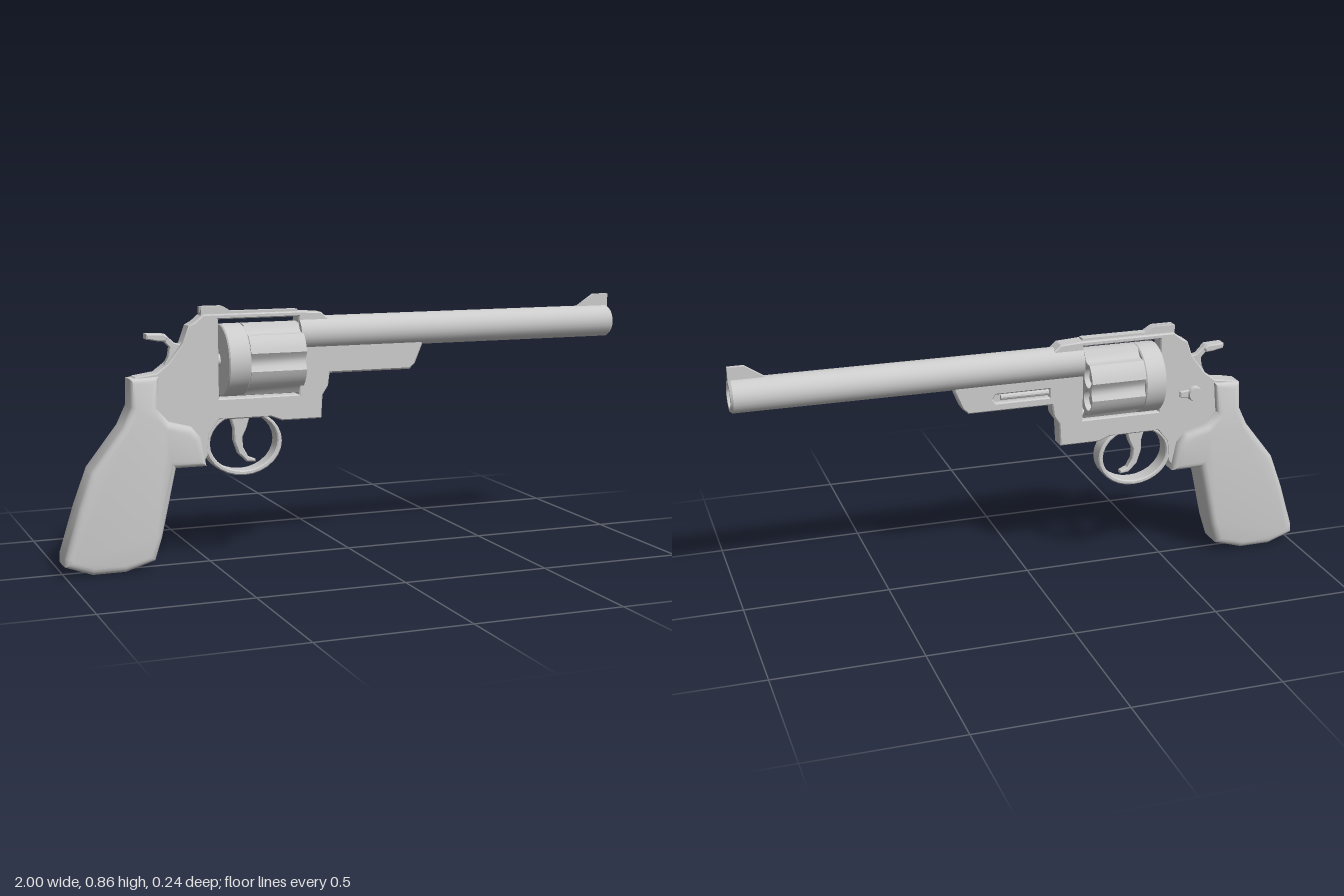
import * as THREE from 'three';
import { toCreasedNormals } from 'three/addons/utils/BufferGeometryUtils.js';

const AXIS_Y = 0.68;   // cylinder axis height
const BORE_Y = 0.76;   // barrel axis height

export function createModel() {
  const model = new THREE.Group();
  const material = new THREE.MeshStandardMaterial({ color: 0xcccccc });

  const add = (name, geometry, parent = model, crease = 0.6) => {
    const mesh = new THREE.Mesh(toCreasedNormals(geometry, crease), material);
    mesh.name = name;
    parent.add(mesh);
    return mesh;
  };
  const vectors = (points) => points.map(([x, y]) => new THREE.Vector2(x, y));

  // Side outline extruded between z0 and z1, with an edge bevel kept inside the outline
  const slab = (outline, z0, z1, { holes = [], bevel = 0, segments = 1 } = {}) => {
    const shape = new THREE.Shape(vectors(outline));
    holes.forEach((h) => shape.holes.push(new THREE.Path(vectors(h))));
    const geometry = new THREE.ExtrudeGeometry(shape, {
      depth: z1 - z0 - 2 * bevel, bevelEnabled: bevel > 0, bevelSize: bevel,
      bevelThickness: bevel, bevelOffset: -bevel, bevelSegments: segments, curveSegments: 8,
    });
    return geometry.translate(0, 0, z0 + bevel);
  };
  // Profile of [radius, x] turned around a lengthwise axis
  const turned = (profile, y, z = 0, sides = 20) =>
    new THREE.LatheGeometry(vectors(profile), sides).rotateZ(-Math.PI / 2).translate(0, y, z);
  const ellipse = (cx, cy, rx, ry, n) => Array.from({ length: n }, (_, i) => {
    const a = (i / n) * Math.PI * 2;
    return [cx + rx * Math.cos(a), cy + ry * Math.sin(a)];
  });

  // Frame with the cylinder window
  add('frame', slab([
    [-0.52, 0.835], [-0.55, 0.81], [-0.57, 0.80], [-0.59, 0.745], [-0.64, 0.68], [-0.68, 0.65],
    [-0.75, 0.64], [-0.765, 0.62], [-0.74, 0.54], [-0.69, 0.44], [-0.58, 0.38], [-0.525, 0.345],
    [-0.51, 0.37], [-0.505, 0.44], [-0.47, 0.485], [-0.29, 0.485], [-0.25, 0.47], [-0.19, 0.47],
    [-0.11, 0.47], [-0.105, 0.55], [-0.085, 0.58], [-0.08, 0.62], [-0.08, 0.805], [-0.11, 0.83],
    [-0.19, 0.835],
  ], -0.031, 0.031, {
    holes: [[[-0.47, 0.555], [-0.47, 0.818], [-0.19, 0.818], [-0.19, 0.555]]], bevel: 0.004,
  }));

  // Barrel with an open bore
  add('barrel', turned([
    [0.037, -0.188], [0.056, -0.188], [0.056, 0.992], [0.050, 1], [0.040, 1], [0.037, 0.99], [0.037, -0.188],
  ], BORE_Y, 0, 24));

  // Shroud below the barrel, slotted on its right side for the ejector rod
  const shroud = [[-0.09, 0.622], [0.215, 0.622], [0.235, 0.64], [0.262, 0.705], [0.262, 0.72], [-0.09, 0.72]];
  add('shroud', slab(shroud, -0.012, 0.031, { bevel: 0.006 }));
  add('shroudSlottedSide', slab(shroud, -0.031, -0.005, {
    holes: [[[-0.07, 0.65], [0.12, 0.65], [0.13, 0.665], [0.12, 0.68], [-0.07, 0.68]]], bevel: 0.004,
  }));
  add('ejectorRod', turned([[0, -0.08], [0.01, -0.08], [0.01, 0.10], [0, 0.10]], 0.665, -0.014, 10));

  // Fluted cylinder with six loaded chambers
  const cylinder = new THREE.Group();
  cylinder.name = 'cylinder';
  model.add(cylinder);
  const R = 0.121;
  const fluted = [];
  const round = [];
  const chambers = [];
  for (let k = 0; k < 6; k++) {
    const a = (k * Math.PI) / 3;
    [[-0.25, R], [-0.13, 0.109], [0, 0.104], [0.13, 0.109], [0.25, R], [0.4, R], [0.524, R], [0.65, R]]
      .forEach(([da, r]) => {
        fluted.push([r * Math.cos(a + da), r * Math.sin(a + da)]);
        round.push([R * Math.cos(a + da), R * Math.sin(a + da)]);
      });
    const c = a + Math.PI / 6;
    chambers.push([0.08 * Math.cos(c), 0.08 * Math.sin(c)]);
  }
  const lengthwise = (g) => g.rotateY(Math.PI / 2).translate(0, AXIS_Y, 0);
  add('flutedSection', lengthwise(slab(fluted, -0.385, -0.192, {
    holes: chambers.map(([x, y]) => ellipse(x, y, 0.036, 0.036, 16)),
  })), cylinder);
  add('rearSection', lengthwise(slab(round, -0.46, -0.385, { bevel: 0.004 })), cylinder);
  chambers.forEach(([x, y]) => add('bullet', turned([
    [0.036, -0.385], [0.036, -0.245], [0.031, -0.225], [0.020, -0.205], [0, -0.205],
  ], AXIS_Y + y, -x, 16), cylinder));
  add('cylinderAxle', turned([[0, -0.48], [0.022, -0.48], [0.022, -0.18], [0, -0.18]], AXIS_Y, 0, 12), cylinder);

  // Grip, rounded along its edges and slimmer at the neck
  const grip = slab([
    [-0.77, 0.635], [-0.77, 0.545], [-0.80, 0.48], [-0.905, 0.345], [-0.95, 0.225], [-1, 0.065],
    [-1, 0.035], [-0.91, 0.002], [-0.80, 0.002], [-0.70, 0.032], [-0.675, 0.11], [-0.625, 0.335],
    [-0.52, 0.335], [-0.54, 0.435], [-0.57, 0.47], [-0.645, 0.49], [-0.685, 0.535], [-0.675, 0.64],
  ], -0.063, 0.063, { bevel: 0.024, segments: 4 });
  const p = grip.attributes.position;
  for (let i = 0; i < p.count; i++) {
    const t = THREE.MathUtils.smoothstep(p.getY(i), 0.5, 0.64);
    p.setZ(i, p.getZ(i) * (1 - 0.25 * t));
  }
  add('grip', grip, model, 0.7);

  // Trigger and its guard
  add('triggerGuard', slab(ellipse(-0.385, 0.402, 0.134, 0.11, 28), -0.03, 0.03, {
    holes: [ellipse(-0.385, 0.404, 0.118, 0.096, 28)], bevel: 0.004,
  }));
  add('trigger', slab([
    [-0.43, 0.50], [-0.415, 0.45], [-0.415, 0.41], [-0.40, 0.365], [-0.37, 0.335], [-0.34, 0.332],
    [-0.34, 0.342], [-0.365, 0.352], [-0.383, 0.385], [-0.385, 0.42], [-0.37, 0.45], [-0.355, 0.50],
  ], -0.014, 0.014, { bevel: 0.004 }));

  // Hammer with a wider thumb spur
  add('hammer', slab([
    [-0.56, 0.78], [-0.595, 0.74], [-0.615, 0.745], [-0.645, 0.775], [-0.665, 0.768], [-0.63, 0.73],
    [-0.635, 0.70], [-0.65, 0.67], [-0.56, 0.66],
  ], -0.013, 0.013, { bevel: 0.003 }));
  add('hammerSpur', slab([
    [-0.71, 0.76], [-0.71, 0.778], [-0.65, 0.775], [-0.638, 0.765], [-0.645, 0.75], [-0.67, 0.752],
  ], -0.022, 0.022, { bevel: 0.004 }));

  // Rear sight: a leaf along the top strap and two notched blades
  add('rearSightLeaf', slab([
    [-0.525, 0.825], [-0.525, 0.842], [-0.19, 0.842], [-0.19, 0.825],
  ], -0.017, 0.017));
  for (const side of [-1, 1]) {
    add('rearSightBlade', slab([
      [-0.525, 0.835], [-0.525, 0.86], [-0.45, 0.86], [-0.42, 0.842], [-0.42, 0.835],
    ], side * 0.011 - 0.007, side * 0.011 + 0.007));
  }

  // Front sight
  add('frontSight', slab([
    [0.87, 0.805], [0.885, 0.818], [0.945, 0.857], [1, 0.857], [1, 0.805],
  ], -0.008, 0.008));

  // Cylinder release latch on the right side
  const latch = new THREE.CylinderGeometry(0.024, 0.028, 0.022, 14).rotateX(-Math.PI / 2);
  add('releaseLatch', latch.translate(-0.60, 0.61, -0.04));
  add('releaseLatchArm', slab([
    [-0.60, 0.595], [-0.545, 0.602], [-0.545, 0.622], [-0.60, 0.628],
  ], -0.042, -0.028, { bevel: 0.003 }));

  return model;
}
